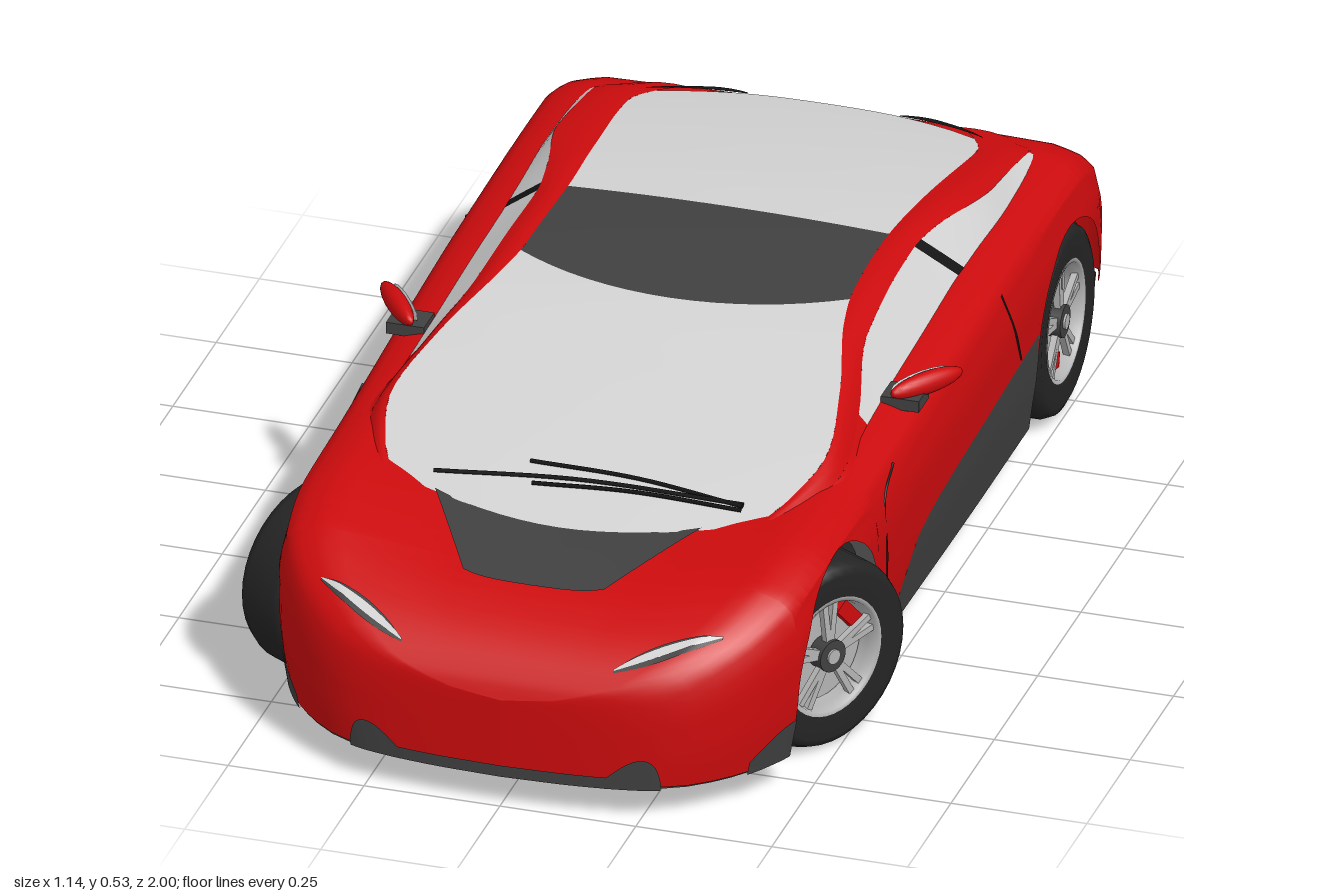
import * as THREE from 'three';

const mat = (name, color) => Object.assign(new THREE.MeshStandardMaterial({ color, side: THREE.DoubleSide }), { name });
const red = mat('red paint', 0xcc0b0d), dark = mat('dark grey trim', 0x404040), glass = mat('pale glass', 0xd2d2d2);
const tyreMat = mat('tyre rubber', 0x242424), silver = mat('wheel silver', 0xb4b4b4), black = mat('black', 0x141414);

// Monotone smooth curve through [t, value] points sorted by t
function curve(pts) {
  const n = pts.length, sec = [], m = [];
  for (let i = 0; i < n - 1; i++) sec.push((pts[i + 1][1] - pts[i][1]) / (pts[i + 1][0] - pts[i][0]));
  for (let i = 0; i < n; i++) {
    const a = sec[Math.max(i - 1, 0)], b = sec[Math.min(i, n - 2)];
    m.push(a * b > 0 ? (2 * a * b) / (a + b) : 0);
  }
  return (t) => {
    if (t <= pts[0][0]) return pts[0][1];
    if (t >= pts[n - 1][0]) return pts[n - 1][1];
    let i = 0;
    while (t > pts[i + 1][0]) i++;
    const h = pts[i + 1][0] - pts[i][0], s = (t - pts[i][0]) / h, s2 = s * s, s3 = s2 * s;
    return (2 * s3 - 3 * s2 + 1) * pts[i][1] + (s3 - 2 * s2 + s) * h * m[i]
      + (3 * s2 - 2 * s3) * pts[i + 1][1] + (s3 - s2) * h * m[i + 1];
  };
}
const lerp = THREE.MathUtils.lerp;
const range = (a, b, n) => Array.from({ length: n + 1 }, (_, i) => lerp(a, b, i / n));

// Smooth sheet of points fn(a, v); its front faces dA x dV
function patch(parent, name, material, as, vs, fn, flip = false) {
  const pos = [], idx = [], c = vs.length;
  for (const a of as) for (const v of vs) pos.push(...fn(a, v));
  for (let i = 0; i < as.length - 1; i++) for (let j = 0; j < c - 1; j++) {
    const p = i * c + j, q = p + c;
    if (flip) idx.push(p, p + 1, q, q, p + 1, q + 1);
    else idx.push(p, q, p + 1, q, q + 1, p + 1);
  }
  const g = new THREE.BufferGeometry();
  g.setAttribute('position', new THREE.Float32BufferAttribute(pos, 3));
  g.setIndex(idx);
  g.computeVertexNormals();
  return add(parent, name, g, material);
}
function add(parent, name, geometry, material) {
  const mesh = new THREE.Mesh(geometry, material);
  mesh.name = name;
  parent.add(mesh);
  return mesh;
}

// Body curves along z: half width, hood centre height, fender height
const W = curve([[-1, 0], [-0.997, 0.15], [-0.99, 0.3], [-0.975, 0.4], [-0.955, 0.465], [-0.93, 0.495], [-0.8, 0.507], [-0.3, 0.507],
  [0.2, 0.503], [0.6, 0.5], [0.75, 0.485], [0.83, 0.45], [0.93, 0.36], [0.97, 0.28], [0.985, 0.21], [0.995, 0.12], [1, 0]]);
const hc = curve([[-1, 0.25], [-0.99, 0.3], [-0.97, 0.36], [-0.9, 0.428], [-0.86, 0.444], [-0.8, 0.448], [-0.6, 0.44], [-0.2, 0.42],
  [0.3, 0.4], [0.5, 0.385], [0.66, 0.37], [0.82, 0.342], [0.85, 0.332], [0.93, 0.295], [0.985, 0.24], [1, 0.21]]);
const hf = curve([[-1, 0.25], [-0.99, 0.3], [-0.97, 0.355], [-0.9, 0.42], [-0.8, 0.448], [-0.65, 0.45], [-0.35, 0.445], [0, 0.432],
  [0.2, 0.422], [0.4, 0.411], [0.6, 0.405], [0.75, 0.383], [0.85, 0.342], [0.93, 0.297], [0.985, 0.24], [1, 0.21]]);
const crown = curve([[0, 0], [0.3, 0.1], [0.6, 0.6], [0.82, 1]]);
const edge = curve([[0.82, 0], [0.92, 0.4], [0.97, 1]]);
const flank = curve([[0, 0.97], [0.25, 1], [0.6, 0.995], [1, 0.96]]);
const sill = curve([[-0.53, 0.247], [-0.3, 0.235], [0, 0.215], [0.15, 0.19], [0.31, 0.06], [0.4, 0.06]]);
const drop = (z) => Math.min(0.035, 0.25 * (hf(z) - 0.06));
const topU = (u, z) => u < 0.82 ? lerp(hc(z), hf(z), crown(u)) : hf(z) - drop(z) * edge(u);
const bodyTop = (x, z) => topU(Math.min(Math.abs(x) / W(z), 0.97), z);
const shoulder = (z) => hf(z) - drop(z);
const sideX = (z, y) => W(z) * flank((shoulder(z) - y) / (shoulder(z) - 0.06));

// Wheel arches
const arches = [{ z: 0.58, r: 0.192 }, { z: -0.71, r: 0.186 }], hubY = 0.178;
const archAt = (z) => arches.find((a) => Math.abs(z - a.z) <= a.r);
function redBottom(z) {
  const a = archAt(z);
  if (a) return hubY + Math.sqrt(a.r * a.r - (z - a.z) ** 2);
  return z > 0.58 ? 0.065 : z < -0.71 ? 0.16 : sill(z);
}
function stations() {
  const s = range(-1, 1, 70);
  for (const e of [0.0007, 0.002, 0.005, 0.01, 0.015, 0.02, 0.04]) s.push(1 - e, e - 1);
  for (const { z, r } of arches) {
    s.push(z - r - 0.0005, z + r + 0.0005);
    for (let k = 0; k <= 24; k++) s.push(z + r * 0.9999 * Math.cos((k * Math.PI) / 24));
  }
  return s.sort((a, b) => a - b);
}

// Cabin curves along z: height, glass edge, roof rail edge
const yc = curve([[-0.87, 0.449], [-0.8, 0.464], [-0.6, 0.497], [-0.4, 0.518], [-0.2, 0.526], [0, 0.515], [0.2, 0.482], [0.35, 0.452], [0.5, 0.419], [0.66, 0.38]]);
const xg = curve([[-0.87, 0.25], [-0.83, 0.285], [-0.75, 0.32], [-0.5, 0.305], [-0.3, 0.295], [-0.1, 0.3], [0, 0.315], [0.2, 0.37], [0.37, 0.4], [0.5, 0.37], [0.58, 0.33], [0.66, 0.29]]);
const xr = curve([[-0.87, 0.36], [-0.8, 0.4], [-0.6, 0.4], [-0.4, 0.36], [-0.3, 0.347], [0, 0.358], [0.2, 0.405], [0.37, 0.43], [0.57, 0.37]]);
const yr = curve([[-0.87, 0.43], [-0.8, 0.452], [-0.65, 0.478], [-0.5, 0.495], [-0.35, 0.506], [-0.2, 0.506], [0, 0.49], [0.1, 0.467], [0.2, 0.438], [0.37, 0.412], [0.57, 0.392]]);
const glassY = (z, s) => yc(z) - 0.007 * s * s;

function buildBody(g) {
  // Painted shell: side, across the top, other side
  const us = [0.97, 0.945, 0.92, 0.87, 0.82, 0.75, 0.67, 0.6, 0.5, 0.4, 0.3, 0.15];
  const cols = range(-2, -1, 8).slice(0, 8).map((v) => v + 0.0);
  const half = [...cols, ...us.map((u) => -u)], full = [...half, 0, ...half.map((v) => -v).reverse()];
  patch(g, 'bodyShell', red, stations(), full, (z, v) => {
    const k = Math.abs(v), m = Math.sign(v);
    if (k < 0.98) return [m * k * W(z), topU(k, z), z];
    const y = lerp(shoulder(z), Math.min(redBottom(z), shoulder(z)), k - 1);
    return [m * sideX(z, y), y, z];
  });
  // Underside, narrowed at the wheels
  patch(g, 'floor', dark, stations().filter((z) => z > -0.986 && z < 0.99), [1, 0, -1], (z, v) =>
    [v * (archAt(z) ? 0.29 : W(z) * 0.955), z > 0.75 ? 0.062 : z < -0.85 ? 0.085 : 0.055, z]);
  const s = new THREE.Shape([[0.92, 0.065], [0.92, 0.24], [0.7, 0.33], [-0.85, 0.36], [-0.94, 0.28], [-0.94, 0.09], [-0.85, 0.058], [0.8, 0.058]]
    .map(([z, y]) => new THREE.Vector2(z, y)));
  add(g, 'chassis', new THREE.ExtrudeGeometry(s, { depth: 0.58, bevelEnabled: false }).rotateY(-Math.PI / 2).translate(0.29, 0, 0), dark);

  for (const m of [1, -1]) {
    const flip = m < 0;
    // Dark patch lying on the flank
    const onSide = (name, material, z0, z1, top, bottom, out = 0.003, dz = 0) =>
      patch(g, name, material, range(z0, z1, 30), range(0, 1, 4), (z, v) => {
        const y = lerp(top(z), bottom, v);
        return [m * (sideX(z, y) + out), y, z + dz];
      }, flip);
    onSide('rocker', dark, -0.527, 0.32, sill, 0.055, 0);
    onSide('rearBumper', dark, -1, -0.897, () => 0.165, 0.083, -0.006, 0.012);
    onSide('cornerVent', dark, 0.775, 0.865, (z) => lerp(0.135, 0.085, ((z - 0.775) / 0.09) ** 2), 0.06);
    onSide('frontVent', dark, 0.965, 0.988, (z) => 0.12 - 0.05 * Math.abs((z - 0.977) / 0.012) ** 2, 0.06, 0.003, 0.003);
    onSide('frontLip', dark, 0.982, 1, () => 0.082, 0.06, 0, 0.003);
    // Wheel wells
    for (const { z, r } of arches)
      patch(g, 'wheelWell', dark, range(0, Math.PI, 20), [0.28, 0.47], (a, x) => [m * x, hubY + r * Math.sin(a), z + r * Math.cos(a)], !flip);
    // Headlights with a dark surround
    for (const [name, material, w, lift] of [['headlightSurround', dark, 0.016, 0.003], ['headlight', glass, 0.009, 0.006]])
      patch(g, name, material, range(0, 1, 14), [-1, 0, 1], (t, v) => {
        const x = lerp(0.195, 0.37, t), z = lerp(0.957, 0.872, t) + v * w * Math.sin(Math.PI * lerp(0.04, 0.96, t));
        return [m * x, bodyTop(x, z) + lift, z];
      }, !flip);
    // Door seams
    for (const pts of [[[0.26, 0.385], [0.33, 0.35], [0.34, 0.25], [0.315, 0.1]], [[-0.35, 0.41], [-0.38, 0.33], [-0.42, 0.25]]]) {
      const c = new THREE.CatmullRomCurve3(pts.map(([z, y]) => new THREE.Vector3(m * sideX(z, y), y, z)));
      add(g, 'doorSeam', new THREE.TubeGeometry(c, 16, 0.0025, 5), black);
    }
  }
  // Dark hood panel ahead of the windscreen
  patch(g, 'hoodPanel', dark, range(0, 1, 10), range(-1, 1, 16), (t, s) => {
    const x = s * lerp(0.245, 0.13, t), z = lerp(0.65 - 0.045 * s * s, 0.82 - 0.015 * s ** 4, t);
    return [x, bodyTop(x, z) + 0.005, z];
  });
}

function buildCabin(g) {
  // Top skin split into windscreen, roof and rear window by curved seams
  const seams = [(s) => -0.87 + 0.055 * s ** 4, () => -0.32, (s) => 0.02 - 0.09 * s * s, (s) => 0.66 - 0.085 * s * s];
  [['rearWindow', glass], ['roofPanel', dark], ['windscreen', glass]].forEach(([name, material], i) =>
    patch(g, name, material, range(0, 1, 20), range(-1, 1, 16), (t, s) => {
      const z = lerp(seams[i](s), seams[i + 1](s), t);
      return [s * xg(z), glassY(z, s), z];
    }));
  for (const m of [1, -1]) {
    const flip = m < 0;
    patch(g, 'roofRail', red, range(-0.87, 0.57, 60), range(0, 1, 4), (z, v) =>
      [m * lerp(xg(z), xr(z), v), lerp(glassY(z, 1), yr(z), v) + 0.006 * Math.sin(Math.PI * v), z], flip);
    // Side skin: pillars and windows
    for (const [name, material, z0, z1] of [['rearPillar', red, -0.87, -0.8], ['quarterWindow', glass, -0.8, -0.335],
      ['middlePillar', black, -0.335, -0.305], ['doorWindow', glass, -0.305, 0.2], ['frontPillarBase', red, 0.2, 0.57]])
      patch(g, name, material, range(z0, z1, 16), range(0, 1, 4), (a, v) => {
        const z = a - 0.04 * v * Math.max(0, 1 - Math.abs(a + 0.32) / 0.3);
        return [m * lerp(xr(z), Math.max(0.43, xr(z) + 0.015) * Math.min(1, W(z) / 0.49), v), lerp(yr(z), hf(z) - 0.012, v), z];
      }, flip);
    // Slots at the rear window corners
    patch(g, 'rearSlot', black, range(0, 1, 10), [0, 1], (t, v) => {
      const x = lerp(0.14, 0.31, t), z = lerp(-0.868, -0.815, t * t) - 0.016 * v * Math.sin(Math.PI * lerp(0.1, 0.95, t));
      return [m * x, Math.max(bodyTop(x, z), glassY(z, 1)) + 0.004, z];
    }, !flip);
    // Door mirror
    const mirror = new THREE.Group();
    mirror.name = 'doorMirror';
    mirror.position.set(m * 0.487, 0.446, 0.065);
    mirror.rotation.y = m * 0.94;
    add(mirror, 'mirrorShell', new THREE.SphereGeometry(1, 20, 12).scale(0.078, 0.021, 0.018), red);
    add(mirror, 'mirrorGlass', new THREE.SphereGeometry(1, 20, 8).scale(0.066, 0.017, 0.004).translate(0, 0, -0.016), glass);
    g.add(mirror);
    add(g, 'mirrorStalk', new THREE.BoxGeometry(0.07, 0.022, 0.06).translate(m * 0.455, 0.425, 0.09), dark);
  }
  // Wipers resting on the windscreen
  for (const ends of [[[0.3, 0.54], [0.1, 0.515], [-0.1, 0.51]], [[0.3, 0.535], [0, 0.54], [-0.26, 0.565]], [[0.3, 0.55], [0.1, 0.55], [-0.08, 0.565]]]) {
    const c = new THREE.CatmullRomCurve3(ends.map(([x, z]) => new THREE.Vector3(x, glassY(z, x / xg(z)) + 0.006, z)));
    add(g, 'wiper', new THREE.TubeGeometry(c, 16, 0.004, 5), black);
  }
}

// Wheel with its outer face towards +x
function buildWheel(calliperAngle) {
  const w = new THREE.Group();
  const lathe = (pts, n = 40) => new THREE.LatheGeometry(pts.map(([r, x]) => new THREE.Vector2(r, x)), n).rotateZ(-Math.PI / 2);
  const disc = (r, d, x) => new THREE.CylinderGeometry(r, r, d, 32).rotateZ(Math.PI / 2).translate(x, 0, 0);
  add(w, 'tyre', lathe([[0.112, -0.056], [0.155, -0.06], [0.169, -0.053], [0.177, -0.035], [0.177, 0.035], [0.169, 0.053], [0.155, 0.06], [0.112, 0.056]]), tyreMat);
  add(w, 'rim', lathe([[0.1, -0.055], [0.1, 0.035], [0.105, 0.056], [0.113, 0.057]]), silver);
  add(w, 'brakeDisc', disc(0.094, 0.012, 0.015), silver);
  add(w, 'hub', disc(0.03, 0.03, 0.04), dark);
  add(w, 'hubCap', disc(0.014, 0.004, 0.057), silver);
  add(w, 'axle', disc(0.03, 0.14, -0.07), dark);
  for (let i = 0; i < 5; i++) for (const d of [-0.12, 0.12])
    add(w, 'spoke', new THREE.BoxGeometry(0.012, 0.08, 0.012).translate(0.043, 0.065, 0).rotateX((i * 2 * Math.PI) / 5 + d), silver);
  add(w, 'brakeCalliper', new THREE.BoxGeometry(0.026, 0.028, 0.075).translate(0.026, 0.08, 0).rotateX(calliperAngle), red);
  return w;
}

export function createModel() {
  const car = new THREE.Group();
  car.name = 'sportsCar';
  buildBody(car);
  buildCabin(car);
  // Front wheels are steered
  for (const m of [1, -1]) for (const [name, z, steer, calliper] of [['frontWheel', 0.58, -0.52, -0.85], ['rearWheel', -0.71, 0, 2.9]]) {
    const wheel = buildWheel(m * calliper);
    wheel.name = name;
    wheel.position.set(m * 0.44, 0.177, z);
    wheel.rotation.y = steer + (m < 0 ? Math.PI : 0);
    car.add(wheel);
  }
  return car;
}
